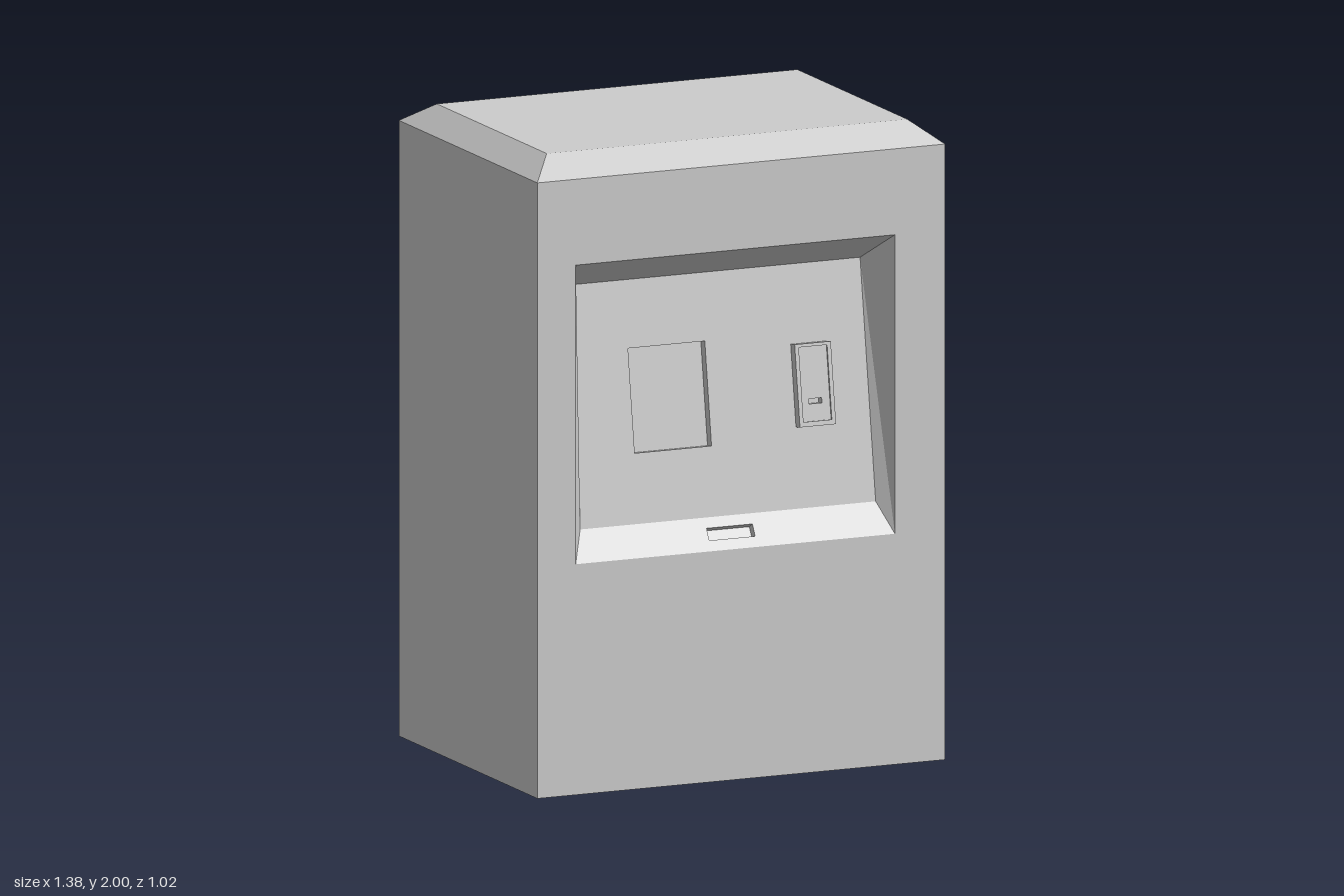
import * as THREE from 'three';

const material = new THREE.MeshStandardMaterial({ color: 0xcccccc, flatShading: true });

// Rectangle of four corners, counter-clockwise from the lower left.
const rect = (x0, x1, y0, y1, z = 0) => [[x0, y0, z], [x1, y0, z], [x1, y1, z], [x0, y1, z]];

// Joins successive four-cornered rings with flat quads. Nested rings make frames,
// pockets and raised blocks; the last ring can be closed with a cap.
function loft(name, rings, { cap = false, omit = () => false } = {}) {
  const points = [];
  const quad = (a, b, c, d) => points.push(...a, ...b, ...c, ...a, ...c, ...d);
  for (let r = 0; r < rings.length - 1; r++) {
    for (let i = 0; i < 4; i++) {
      if (omit(r, i)) continue;
      const j = (i + 1) % 4;
      quad(rings[r][i], rings[r][j], rings[r + 1][j], rings[r + 1][i]);
    }
  }
  if (cap) quad(...rings[rings.length - 1]);
  const geometry = new THREE.BufferGeometry();
  geometry.setAttribute('position', new THREE.Float32BufferAttribute(points, 3));
  geometry.computeVertexNormals();
  const mesh = new THREE.Mesh(geometry, material);
  mesh.name = name;
  return mesh;
}

export function createModel() {
  const model = new THREE.Group();
  model.name = 'kiosk';

  const W = 0.69, D = 0.51, H = 1.935;
  const opening = rect(-0.56, 0.52, 0.725, 1.665, D);
  // The back panel leans away from the user: its top lies deeper than its foot.
  const footY = 0.82, topY = 1.565, footZ = 0.455, topZ = 0.34;
  const panelRing = [[-0.52, footY, footZ], [0.48, footY, footZ], [0.48, topY, topZ], [-0.52, topY, topZ]];

  // Cabinet: underside, walls (front left open) and chamfered top
  const cabinet = loft('cabinet', [
    rect(0, 0, 0, 0, 0),
    rect(-W, W, -D, D, 0),
    rect(-W, W, -D, D, H),
    rect(-0.61, 0.61, -0.405, 0.405, 2),
  ], { cap: true, omit: (r, i) => r === 1 && i === 0 });
  cabinet.rotation.x = -Math.PI / 2;
  model.add(cabinet);

  // Front face around the opening, and the side and top walls of the niche
  model.add(loft('frontFrame', [rect(-W, W, 0, H, D), opening]));
  model.add(loft('nicheWalls', [opening, panelRing], { omit: (r, i) => i === 0 }));

  // Sloped sill with a tray slot
  const sillLength = Math.hypot(footY - 0.725, D - footZ);
  const sill = loft('sill', [
    [[-0.56, 0, 0], [0.52, 0, 0], [0.48, sillLength, 0], [-0.52, sillLength, 0]],
    rect(-0.1, 0.055, 0.035, 0.075),
    rect(-0.1, 0.055, 0.035, 0.075, -0.026),
  ], { cap: true });
  sill.position.set(0, 0.725, D);
  sill.rotation.x = -Math.atan2(D - footZ, footY - 0.725);
  model.add(sill);

  // Leaning control panel with a sunken screen
  const controls = new THREE.Group();
  controls.name = 'controls';
  controls.position.set(0, footY, footZ);
  controls.rotation.x = -Math.atan2(footZ - topZ, topY - footY);
  const panelLength = Math.hypot(topY - footY, footZ - topZ);
  controls.add(loft('screenPanel', [
    rect(-0.52, 0.48, 0, panelLength),
    rect(-0.32, -0.06, 0.218, 0.542),
    rect(-0.32, -0.06, 0.218, 0.542, -0.03),
  ], { cap: true }));

  // Raised card reader: rim, shallow recess and slot
  controls.add(loft('cardReader', [
    rect(0.228, 0.35, 0.251, 0.507),
    rect(0.228, 0.35, 0.251, 0.507, 0.03),
    rect(0.241, 0.337, 0.266, 0.497, 0.03),
    rect(0.241, 0.337, 0.266, 0.497, 0.024),
    rect(0.266, 0.31, 0.32, 0.336, 0.024),
    rect(0.266, 0.31, 0.32, 0.336, -0.03),
  ], { cap: true }));
  model.add(controls);

  return model;
}
